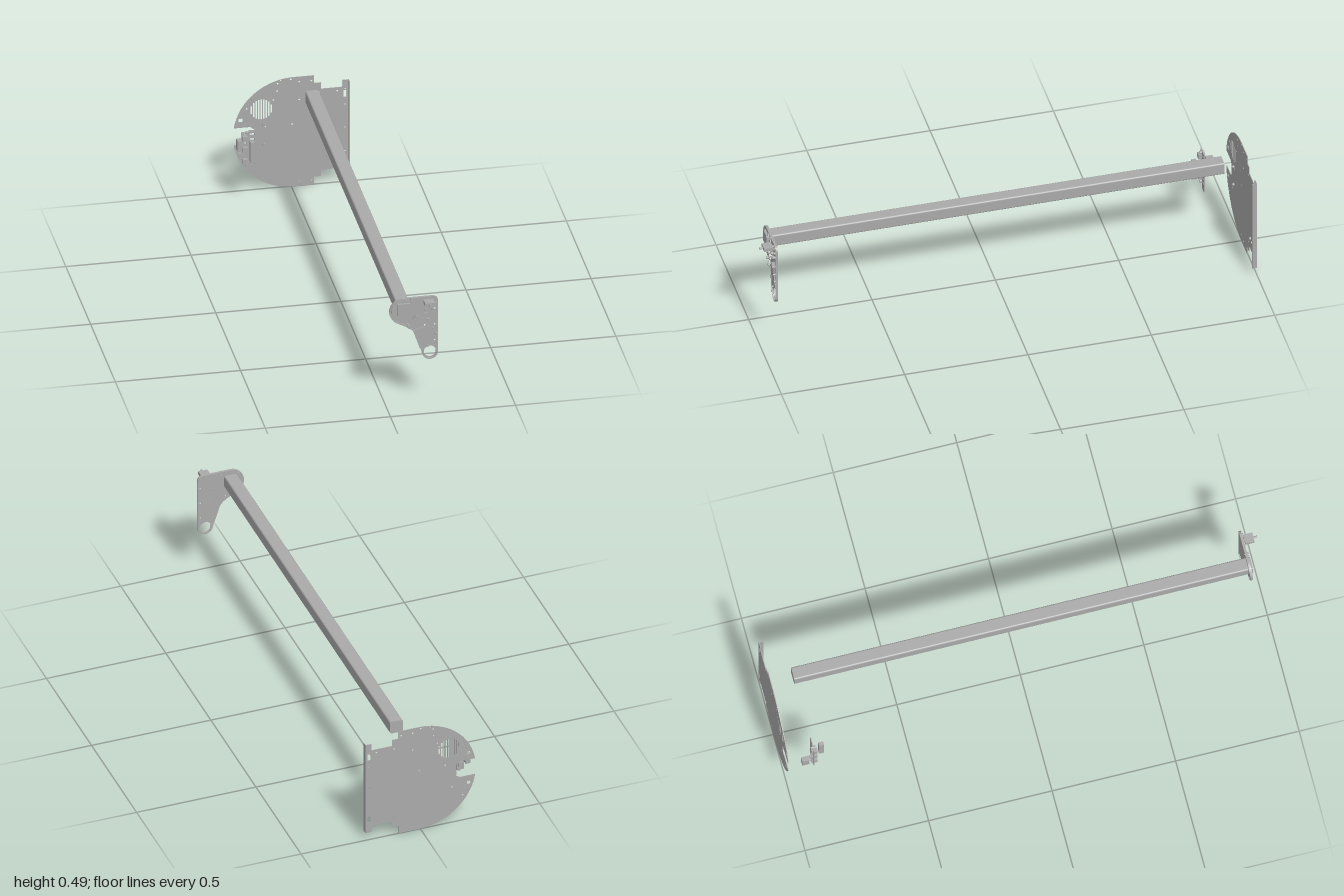
import * as THREE from 'three';

export function createModel() {
  const model = new THREE.Group();
  const steel = new THREE.MeshStandardMaterial({ color: 0xaaaaaa });
  steel.name = 'grey steel';

  const add = (name, geo, x = 0, y = 0, z = 0, parent = model) => {
    const m = new THREE.Mesh(geo, steel);
    m.name = name;
    m.position.set(x, y, z);
    parent.add(m);
    return m;
  };
  const box = (name, x0, x1, y0, y1, z0, z1) =>
    add(name, new THREE.BoxGeometry(x1 - x0, y1 - y0, z1 - z0), (x0 + x1) / 2, (y0 + y1) / 2, (z0 + z1) / 2);
  // Cylinder running along z
  const stud = (name, x, y, r, z0, z1) =>
    add(name, new THREE.CylinderGeometry(r, r, z1 - z0, 20).rotateX(Math.PI / 2), x, y, (z0 + z1) / 2);
  const circleHole = (s, x, y, r) => s.holes.push(new THREE.Path().absarc(x, y, r, 0, Math.PI * 2, true));
  const rectHole = (s, x0, x1, y0, y1) => s.holes.push(new THREE.Path(
    [[x0, y0], [x0, y1], [x1, y1], [x1, y0]].map(p => new THREE.Vector2(...p))));
  const slab = (name, shape, z0, z1) =>
    add(name, new THREE.ExtrudeGeometry(shape, { depth: z1 - z0, bevelEnabled: false, curveSegments: 20 }), 0, 0, z0);
  const roundRect = (x0, x1, y0, y1, r) => {
    const s = new THREE.Shape();
    s.absarc(x1 - r, y1 - r, r, 0, Math.PI / 2);
    s.absarc(x0 + r, y1 - r, r, Math.PI / 2, Math.PI);
    s.absarc(x0 + r, y0 + r, r, Math.PI, Math.PI * 1.5);
    s.absarc(x1 - r, y0 + r, r, Math.PI * 1.5, Math.PI * 2);
    return s;
  };

  // End plate: half round on one side, stepped on the other, notch in the arc
  const plate = new THREE.Shape();
  const cy = 0.2415, R = 0.2405;
  plate.moveTo(0.23, 0.035);
  for (const [x, y] of [[0.23, 0.45], [0.205, 0.45], [0.205, 0.42], [0.118, 0.42], [0.118, 0.448],
    [0.09, 0.448], [0.09, 0.482]]) plate.lineTo(x, y);
  plate.absarc(0.008, cy, R, Math.PI / 2, Math.PI - 0.161);
  for (const [x, y] of [[-0.165, 0.28], [-0.148, 0.267], [-0.148, 0.217], [-0.165, 0.205]]) plate.lineTo(x, y);
  plate.absarc(0.008, cy, R, Math.PI + 0.152, Math.PI * 1.5);
  for (const [x, y] of [[0.09, 0.001], [0.09, 0.035], [0.118, 0.035], [0.118, 0.063], [0.205, 0.063],
    [0.205, 0.035]]) plate.lineTo(x, y);
  plate.closePath();

  // Vent slits, cut to a rounded outline
  for (let i = -4; i <= 4; i++) {
    const x = -0.12 + i * 0.01, h = 0.044 * Math.sqrt(1 - (i / 4.4) ** 2);
    rectHole(plate, x - 0.003, x + 0.003, 0.353 - h, 0.353 + h);
  }
  // Fixing holes
  for (const [x, y] of [[-0.042, 0.474], [-0.002, 0.474], [-0.055, 0.46], [-0.057, 0.428], [-0.178, 0.361],
    [-0.072, 0.389], [-0.178, 0.119], [-0.105, 0.033], [0.003, 0.033], [0.032, 0.022], [0.08, 0.022],
    [0.11, 0.078], [0.183, 0.078], [0.003, 0.276], [-0.105, 0.276], [-0.133, 0.167], [0.032, 0.381],
    [0.183, 0.405], [0.11, 0.405], [0.032, 0.46], [0.08, 0.46]]) circleHole(plate, x, y, 0.004);
  for (const y of [0.072, 0.138, 0.241, 0.343, 0.412]) circleHole(plate, 0.215, y, 0.003);
  rectHole(plate, 0.208, 0.221, 0.08, 0.11);
  rectHole(plate, 0.208, 0.221, 0.375, 0.405);
  rectHole(plate, -0.212, -0.196, 0.305, 0.32);
  rectHole(plate, -0.212, -0.196, 0.165, 0.18);
  slab('endPlate', plate, -1, -0.997);
  box('plateFlange', 0.227, 0.23, 0.035, 0.45, -0.997, -0.981);
  box('flangeLip', 0.221, 0.227, 0.13, 0.355, -0.997, -0.993);
  for (const [x, y] of [[-0.11, 0.285], [-0.11, 0.198], [0.147, 0.12], [0.175, 0.12]])
    stud('plateStud', x, y, 0.006, -0.998, -0.99);

  // Long beam with softened edges
  slab('beam', roundRect(0.037, 0.091, 0.412, 0.466, 0.007), -0.905, 0.952);

  // Hanging bracket: wide head narrowing to a ring at the foot
  const bracketShape = inset => {
    const k = inset, s = new THREE.Shape();
    s.moveTo(0.202 - k, 0.243);
    s.absarc(0.18, 0.465, 0.022 - k, 0, Math.PI / 2);
    s.absarc(0.065, 0.43, 0.057 - k, Math.PI / 2, Math.PI * 1.3);
    s.bezierCurveTo(0.06 + k * 0.5, 0.366 + k, 0.095 + k, 0.358 + k, 0.118 + k, 0.318);
    s.absarc(0.17, 0.243, 0.032 - k, Math.PI * 1.07, Math.PI * 2);
    return s;
  };
  const bracket = bracketShape(0);
  circleHole(bracket, 0.17, 0.243, 0.024);
  for (const [x, y] of [[0.02, 0.42], [0.03, 0.47], [0.1, 0.474], [0.105, 0.4], [0.15, 0.41], [0.19, 0.43],
    [0.15, 0.36], [0.19, 0.36], [0.13, 0.33], [0.19, 0.29], [0.15, 0.29], [0.085, 0.372]])
    circleHole(bracket, x, y, 0.004);
  slab('bracketPlate', bracket, 0.934, 0.938);
  const rim = bracketShape(0);
  rim.holes.push(new THREE.Path(bracketShape(0.004).getPoints(20).reverse()));
  slab('bracketRim', rim, 0.938, 0.944);

  // Collar round the beam, pointing towards the bracket's middle
  const collar = new THREE.Shape();
  collar.absarc(0.065, 0.43, 0.05, Math.PI * 0.3, Math.PI * 1.3);
  collar.lineTo(0.085, 0.373);
  collar.lineTo(0.132, 0.413);
  collar.closePath();
  collar.holes.push(new THREE.Path(roundRect(0.037, 0.091, 0.412, 0.466, 0.007).getPoints(8).reverse()));
  slab('beamCollar', collar, 0.938, 0.942);

  // Tilted cover and small fittings on the bracket
  const cover = add('bracketCover', new THREE.BoxGeometry(0.058, 0.085, 0.004), 0.143, 0.31, 0.94);
  cover.rotation.z = 0.32;
  box('sensorBlock', 0.142, 0.181, 0.464, 0.478, 0.948, 0.985);
  box('sensorFoot', 0.155, 0.168, 0.454, 0.464, 0.938, 0.97);
  stud('sensorPin', 0.162, 0.47, 0.004, 0.938, 1);
  for (const [x, y, r] of [[0.155, 0.41, 0.007], [0.152, 0.428, 0.006], [0.086, 0.36, 0.006], [0.097, 0.478, 0.006],
    [0.19, 0.455, 0.005], [0.182, 0.428, 0.005], [0.182, 0.345, 0.004], [0.194, 0.32, 0.005],
    [0.16, 0.272, 0.004], [0.105, 0.34, 0.004]]) stud('bracketStud', x, y, r, 0.936, 0.95);
  for (const [x, y, a] of [[0.13, 0.395, 0.7], [0.166, 0.382, 0.3], [0.11, 0.4, -0.6]])
    add('bracketClip', new THREE.BoxGeometry(0.012, 0.022, 0.014), x, y, 0.945).rotation.z = a;

  // Latch unit beside the plate: ladder strip, backing and small blocks
  const ladder = new THREE.Shape([[-0.193, 0.14], [-0.161, 0.14], [-0.161, 0.322], [-0.193, 0.322]]
    .map(p => new THREE.Vector2(...p)));
  for (let i = 0; i < 7; i++) {
    const y = 0.176 + i * 0.0215;
    rectHole(ladder, -0.188, -0.17, y - 0.004, y + 0.004);
  }
  slab('latchLadder', ladder, -0.892, -0.889);
  const backing = new THREE.Shape([[-0.222, 0.165], [-0.193, 0.165], [-0.193, 0.315], [-0.222, 0.315]]
    .map(p => new THREE.Vector2(...p)));
  for (const y of [0.19, 0.215, 0.268, 0.305]) circleHole(backing, -0.206, y, 0.005);
  slab('latchBacking', backing, -0.894, -0.89);
  box('latchBar', -0.193, -0.178, 0.2, 0.29, -0.864, -0.844);
  box('latchTongue', -0.232, -0.212, 0.22, 0.264, -0.942, -0.912);
  box('latchArm', -0.216, -0.206, 0.235, 0.25, -0.914, -0.892);
  for (const y of [0.19, 0.242, 0.29]) box('latchBlock', -0.217, -0.198, y - 0.011, y + 0.011, -0.9, -0.876);
  for (const y of [0.17, 0.31]) stud('latchStud', -0.2, y, 0.006, -0.9, -0.88);

  return model;
}
